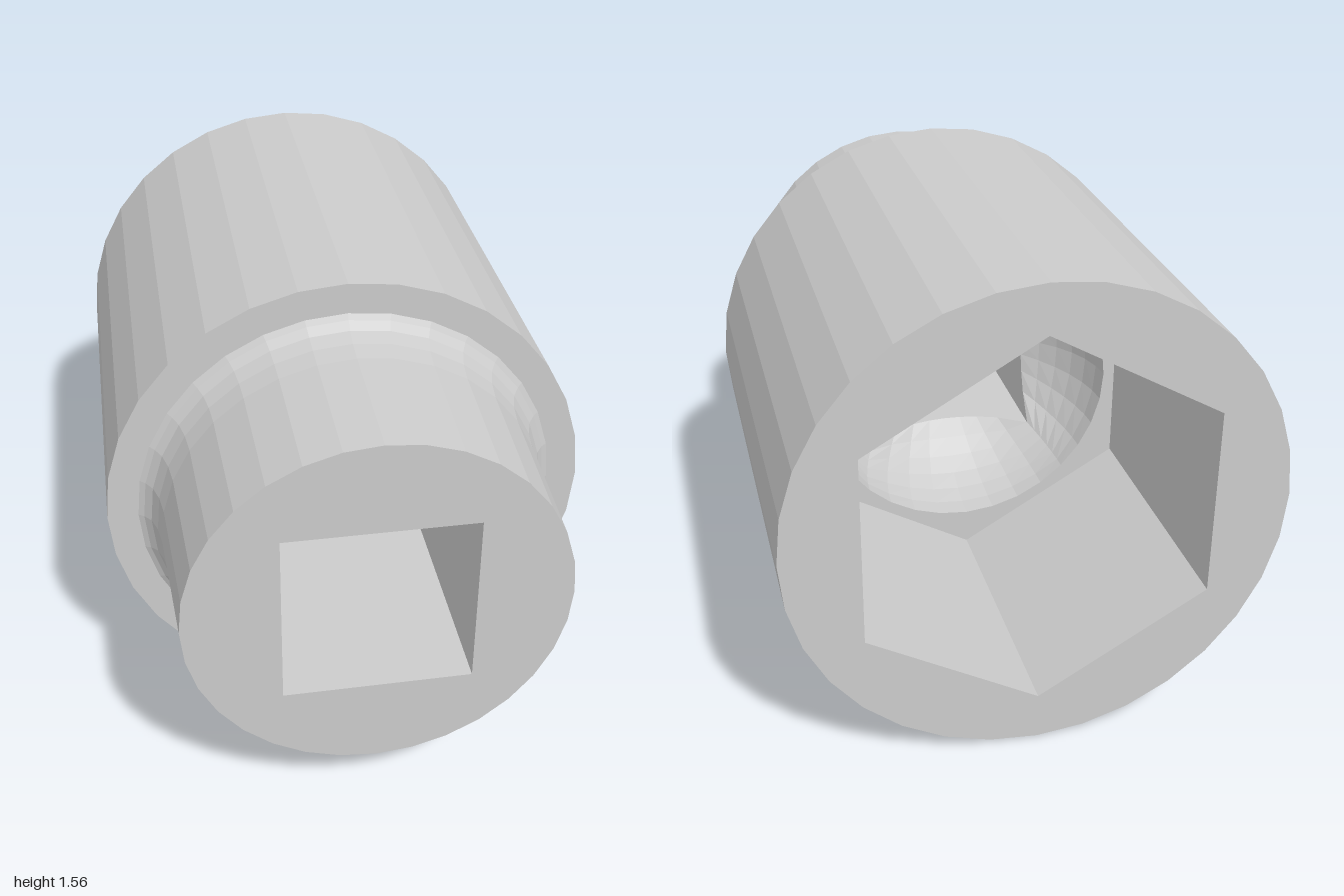
import * as THREE from 'three';

const SIDES = 32;
const R = 0.78;           // body radius, also the height of the axis
const SHOULDER = 0.413;   // z of the step between body and neck
const FLOOR = -0.106;     // z where the hexagonal recess ends
const HEX = 0.622;        // hexagon corner radius
const HALF = 0.294;       // half width of the square drive hole
const BOWL = 0.5;         // radius of the rounded pocket behind the hexagon
const BOWL_DEPTH = 0.42;

const material = new THREE.MeshStandardMaterial({ color: 0xcccccc, flatShading: true, roughness: 0.6 });

function addMesh(group, name, geometry) {
  const mesh = new THREE.Mesh(geometry, material);
  mesh.name = name;
  group.add(mesh);
  return mesh;
}

// Skin between rings around the z axis; each ring maps an angle to [radius, z].
// Rings that advance towards +z face outwards, towards -z face inwards.
function loft(rings, sides = SIDES, start = 0) {
  const positions = [], index = [];
  for (const ring of rings) {
    for (let j = 0; j < sides; j++) {
      const a = start + (j / sides) * Math.PI * 2;
      const [r, z] = ring(a);
      positions.push(r * Math.cos(a), r * Math.sin(a), z);
    }
  }
  for (let i = 0; i < rings.length - 1; i++) {
    for (let j = 0; j < sides; j++) {
      const k = (j + 1) % sides;
      const a = i * sides + j, b = i * sides + k, c = b + sides, d = a + sides;
      index.push(a, b, c, a, c, d);
    }
  }
  const geometry = new THREE.BufferGeometry();
  geometry.setAttribute('position', new THREE.Float32BufferAttribute(positions, 3));
  geometry.setIndex(index);
  geometry.computeVertexNormals();
  return geometry;
}

const circle = (r, z) => () => [r, z];
const squareRadius = (a) => HALF / Math.max(Math.abs(Math.cos(a)), Math.abs(Math.sin(a)));
const bowlZ = (r) => FLOOR + BOWL_DEPTH * Math.sqrt(Math.max(0, 1 - (r / BOWL) ** 2));

function polygon(r, sides, start = 0) {
  return Array.from({ length: sides }, (_, i) => {
    const a = start + (i / sides) * Math.PI * 2;
    return new THREE.Vector2(r * Math.cos(a), r * Math.sin(a));
  });
}

// Flat plate with a hole, facing the back
function backPlate(outline, hole, z) {
  const shape = new THREE.Shape(outline);
  shape.holes.push(new THREE.Path(hole));
  return new THREE.ShapeGeometry(shape).rotateY(Math.PI).translate(0, 0, z);
}

export function createModel() {
  const group = new THREE.Group();
  group.name = 'socket';

  // Large cylinder, and the neck with its filleted root
  addMesh(group, 'body', loft([circle(R, -1), circle(R, SHOULDER)]));
  const neck = [[0.68, SHOULDER], [0.662, 0.424], [0.64, 0.45], [0.623, 0.5], [0.613, 0.57], [0.593, 1]];
  addMesh(group, 'shoulder', loft([circle(R, SHOULDER), circle(0.68, SHOULDER)]));
  addMesh(group, 'neck', loft(neck.map(([r, z]) => circle(r, z))));

  // Front face and square drive hole, ending where it meets the pocket
  const square = (z) => (a) => [squareRadius(a), z];
  const squareEnd = (a) => [squareRadius(a), bowlZ(squareRadius(a))];
  addMesh(group, 'frontFace', loft([circle(0.593, 1), square(1)]));
  addMesh(group, 'squareHole', loft([square(1), squareEnd]));

  // Rounded pocket from the square hole out to the recess floor
  const steps = 6;
  const pocket = Array.from({ length: steps + 1 }, (_, i) => (a) => {
    const from = Math.asin(squareRadius(a) / BOWL);
    const t = THREE.MathUtils.lerp(from, Math.PI / 2, i / steps);
    return [BOWL * Math.sin(t), FLOOR + BOWL_DEPTH * Math.cos(t)];
  });
  addMesh(group, 'pocket', loft(pocket));

  // Hexagonal recess open to the back
  const hexagon = polygon(HEX, 6, Math.PI / 6);
  addMesh(group, 'recessFloor', backPlate(hexagon, polygon(BOWL, SIDES), FLOOR));
  addMesh(group, 'hexRecess', loft([circle(HEX, FLOOR), circle(HEX, -1)], 6, Math.PI / 6));
  addMesh(group, 'backFace', backPlate(polygon(R, SIDES), hexagon, -1));

  // Rest the body on the ground
  group.children.forEach((mesh) => { mesh.position.y = R; });
  return group;
}
